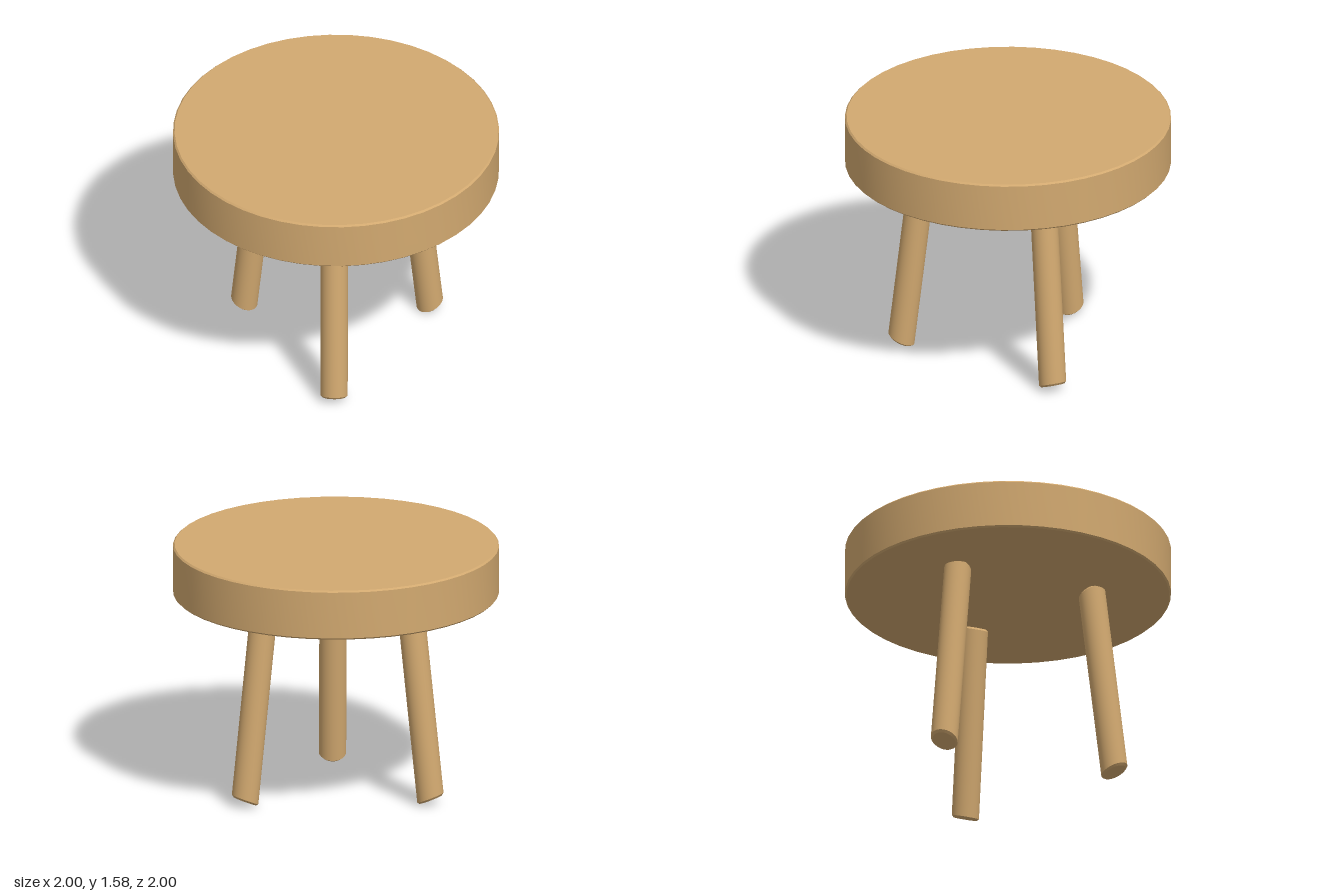
import * as THREE from 'three';
import { toCreasedNormals } from 'three/addons/utils/BufferGeometryUtils.js';

// Solid disc or rod with a small chamfer at both ends
function chamferedRod(radius, bottom, top, chamfer, sides) {
  const profile = [
    [0, bottom], [radius - chamfer, bottom], [radius, bottom + chamfer],
    [radius, top - chamfer], [radius - chamfer, top], [0, top],
  ].map(([x, y]) => new THREE.Vector2(x, y));
  return new THREE.LatheGeometry(profile, sides);
}

// Round leg that splays along +x, with slanted end cuts
function legGeometry() {
  const footRadius = 0.661, splay = 0.115, cutSlope = 0.42;
  const geometry = chamferedRod(0.084, 0.03, 1.262, 0.012, 32);
  const p = geometry.attributes.position;
  for (let i = 0; i < p.count; i++) {
    const y = p.getY(i) + cutSlope * p.getX(i);
    p.setXY(i, p.getX(i) + footRadius - splay * y, y);
  }
  return toCreasedNormals(geometry, 0.6);
}

export function createModel() {
  const model = new THREE.Group();
  model.name = 'stool';
  const wood = new THREE.MeshStandardMaterial({ color: 0xd2a970 });
  wood.name = 'light wood';

  // Thick round seat
  const seat = new THREE.Mesh(
    toCreasedNormals(chamferedRod(1, 1.262, 1.575, 0.01, 48), 0.6), wood);
  seat.name = 'seat';
  model.add(seat);

  // Three splayed legs, evenly spaced and turned slightly
  const geometry = legGeometry();
  ['leftLeg', 'backRightLeg', 'frontRightLeg'].forEach((name, i) => {
    const leg = new THREE.Mesh(geometry, wood);
    leg.name = name;
    leg.rotation.y = THREE.MathUtils.degToRad(4 + i * 120);
    model.add(leg);
  });
  return model;
}
